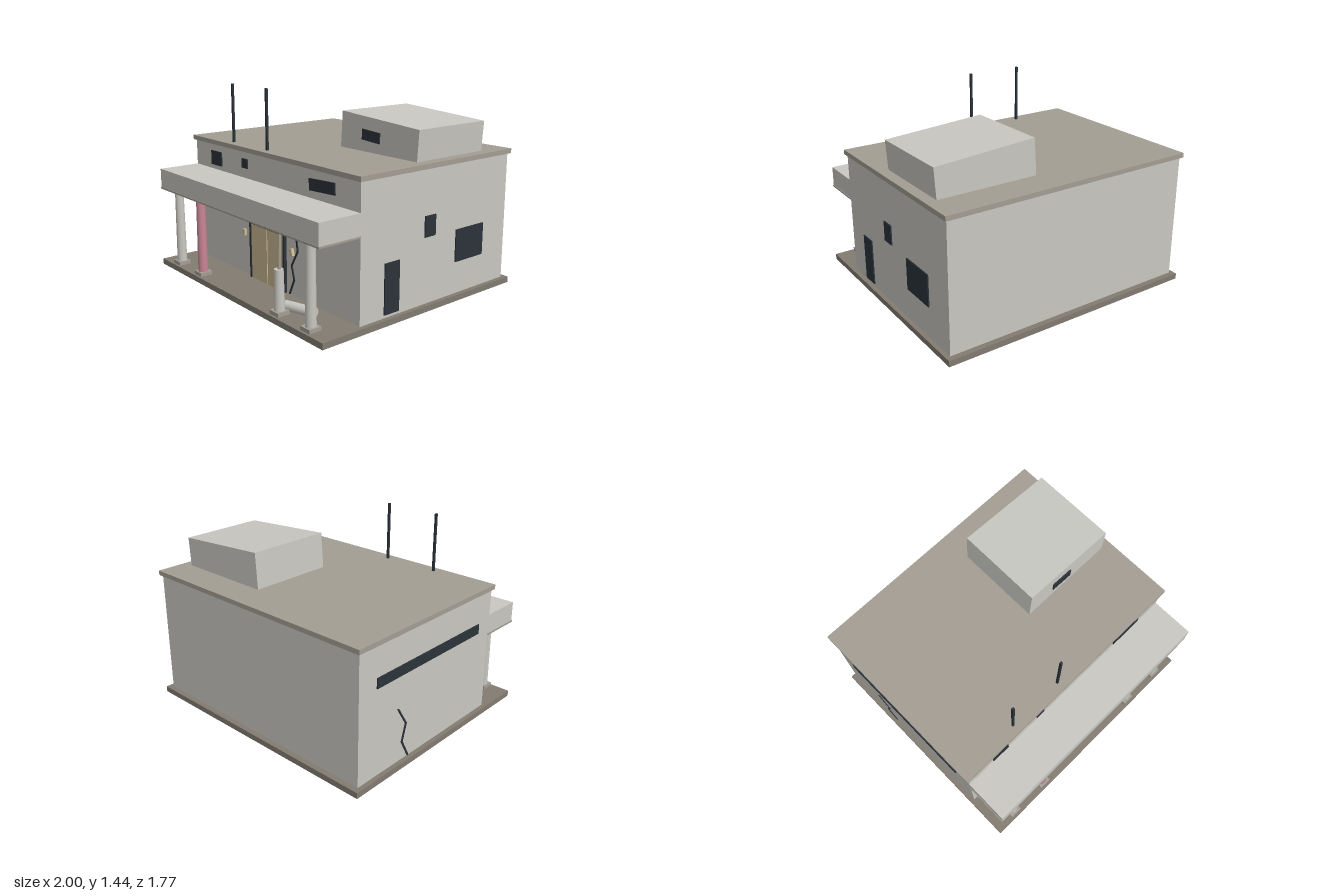
import * as THREE from 'three';

const mat = (name, color) => {
  const m = new THREE.MeshStandardMaterial({ color });
  m.name = name;
  return m;
};

export function createModel() {
  const wall = mat('pale concrete', 0xc8c7c1);
  const roofing = mat('roof brown grey', 0xa39d93);
  const plinth = mat('plinth brown', 0x827b71);
  const dark = mat('dark glass', 0x2b333a);
  const tan = mat('tan panel', 0xc9b892);
  const pink = mat('pink paint', 0xc98595);

  const model = new THREE.Group();
  model.name = 'building';

  const add = (name, geo, material, x, y, z) => {
    const mesh = new THREE.Mesh(geo, material);
    mesh.name = name;
    mesh.position.set(x, y, z);
    model.add(mesh);
    return mesh;
  };
  // Box from its low and high corners
  const block = (name, material, [x0, y0, z0], [x1, y1, z1]) =>
    add(name, new THREE.BoxGeometry(x1 - x0, y1 - y0, z1 - z0), material,
      (x0 + x1) / 2, (y0 + y1) / 2, (z0 + z1) / 2);
  // Cylinder stretched between two points
  const rod = (name, material, a, b, rA, rB, sides = 16) => {
    const from = new THREE.Vector3(...a), to = new THREE.Vector3(...b);
    const dir = to.clone().sub(from);
    const mid = from.clone().add(to).multiplyScalar(0.5);
    const mesh = add(name, new THREE.CylinderGeometry(rB, rA, dir.length(), sides), material, mid.x, mid.y, mid.z);
    mesh.quaternion.setFromUnitVectors(new THREE.Vector3(0, 1, 0), dir.normalize());
    return mesh;
  };

  // Main masses
  block('plinth', plinth, [-1, 0, -0.885], [1, 0.043, 0.885]);
  block('mainHall', wall, [-0.967, 0.043, -0.843], [0.967, 0.973, 0.56]);
  block('roofSlab', roofing, [-0.984, 0.973, -0.863], [0.984, 1.007, 0.578]);
  block('canopy', wall, [-0.967, 0.632, 0.56], [0.967, 0.777, 0.885]);
  block('canopyTrim', roofing, [-0.972, 0.62, 0.56], [0.972, 0.632, 0.887]);

  // Tilted rooftop room with its window
  const tilt = -0.066;
  add('rooftopRoom', new THREE.BoxGeometry(0.75, 0.3, 0.645), wall, 0.535, 1.095, -0.303).rotation.z = tilt;
  add('rooftopWindow', new THREE.BoxGeometry(0.174, 0.075, 0.009), dark, 0.472, 1.122, 0.024).rotation.z = tilt;

  // Antennas
  for (const x of [-0.497, -0.067]) block('antenna', dark, [x - 0.008, 1.007, 0.504], [x + 0.008, 1.44, 0.52]);

  // Columns on square pads; the third is broken off
  const zc = 0.82;
  const columns = [[-0.807, wall, 0.62, 0.032], [-0.487, pink, 0.62, 0.033], [0.48, wall, 0.35, 0.031], [0.807, wall, 0.62, 0.032]];
  for (const [x, material, top, rTop] of columns) {
    block('columnPad', roofing, [x - 0.047, 0.043, zc - 0.047], [x + 0.047, 0.07, zc + 0.047]);
    rod('column', material, [x, 0.07, zc], [x, top, zc], 0.037, rTop);
  }
  rod('bentBar', roofing, [0.485, 0.34, zc], [0.462, 0.625, 0.797], 0.011, 0.009, 8);
  rod('fallenColumn', wall, [0.46, 0.08, 0.755], [0.685, 0.08, 0.687], 0.035, 0.035);

  // Front windows
  const frontPane = (name, material, x, y, w, h, turn = 0, depth = 0.009) => {
    add(name, new THREE.BoxGeometry(w, h, depth), material, x, y, 0.56 + depth / 2).rotation.z = turn;
  };
  frontPane('frontWindow', dark, -0.666, 0.865, 0.144, 0.108);
  frontPane('frontWindow', dark, -0.28, 0.885, 0.069, 0.069);
  frontPane('tiltedWindow', dark, 0.604, 0.875, 0.258, 0.08, 0.05);

  // Double door, with dark jambs, head and centre gap
  frontPane('doorBacking', dark, -0.002, 0.25, 0.4, 0.41);
  for (const x of [-0.206, 0.202]) frontPane('doorJamb', dark, x, 0.259, 0.018, 0.432, 0, 0.022);
  frontPane('doorHead', dark, -0.002, 0.466, 0.426, 0.018, 0, 0.022);
  for (const x of [-0.102, 0.099]) frontPane('doorLeaf', tan, x, 0.25, 0.192, 0.414, 0, 0.016);

  // Wall lamps, one hanging loose
  frontPane('wallLamp', tan, -0.293, 0.368, 0.029, 0.046, 0, 0.022);
  frontPane('wallLamp', tan, 0.285, 0.358, 0.027, 0.052, 0.3, 0.022);

  // Side windows and door, given as z0, z1, y0, y1
  const sidePane = (name, side, z0, z1, y0, y1) =>
    add(name, new THREE.BoxGeometry(0.009, y1 - y0, z1 - z0), dark, side * 0.971, (y0 + y1) / 2, (z0 + z1) / 2);
  sidePane('sideWindow', 1, -0.104, -0.003, 0.512, 0.657);
  sidePane('sideWindow', 1, -0.597, -0.313, 0.275, 0.507);
  sidePane('sideDoor', 1, 0.225, 0.355, 0.065, 0.412);
  sidePane('stripWindow', -1, -0.68, 0.42, 0.678, 0.75);

  // Cracks as flat zigzag ribbons
  const crack = (name, points, width) => {
    const half = width / 2;
    const right = points.map(([u, v]) => [u + half, v]);
    const left = points.map(([u, v]) => [u - half, v]).reverse();
    const shape = new THREE.Shape([...right, ...left].map(([u, v]) => new THREE.Vector2(u, v)));
    return add(name, new THREE.ExtrudeGeometry(shape, { depth: 0.007, bevelEnabled: false }), dark, 0, 0, 0);
  };
  crack('frontCrack', [[0.246, 0.045], [0.3, 0.16], [0.273, 0.258], [0.342, 0.376], [0.325, 0.487], [0.398, 0.62]], 0.014)
    .position.z = 0.56;
  const sideCrack = crack('sideCrack', [[-0.345, 0.045], [-0.415, 0.18], [-0.378, 0.307], [-0.465, 0.445]], 0.014);
  sideCrack.rotation.y = -Math.PI / 2;
  sideCrack.position.x = -0.967;

  return model;
}
